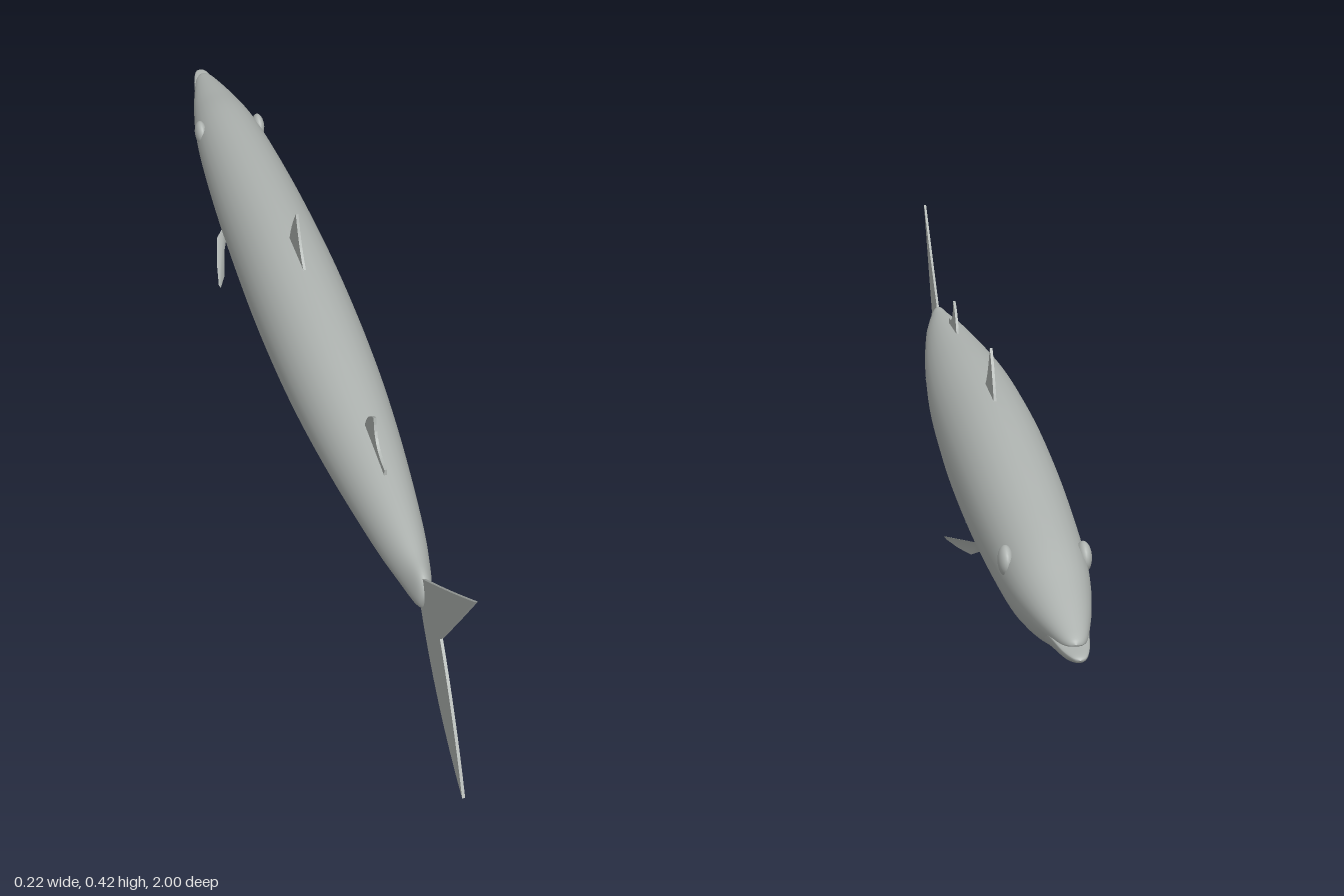
import * as THREE from 'three';

const skin = new THREE.MeshStandardMaterial({ color: 0xb0b5b2 });
skin.name = 'silver grey';
const finSkin = skin.clone();
finSkin.name = 'silver grey fin';
finSkin.side = THREE.DoubleSide;

// Smooth skin through oval rings, each [z, halfWidth, top, middle, bottom], from nose to tail
function loft(rings, steps, sides = 28) {
  const a = new THREE.CatmullRomCurve3(rings.map(r => new THREE.Vector3(r[0], r[2], r[4])), false, 'catmullrom');
  const b = new THREE.CatmullRomCurve3(rings.map(r => new THREE.Vector3(r[0], r[1], r[3])), false, 'catmullrom');
  const pos = [], index = [];
  for (let i = 0; i <= steps; i++) {
    const p = a.getPoint(i / steps), q = b.getPoint(i / steps);
    for (let j = 0; j < sides; j++) {
      const t = (j / sides) * Math.PI * 2, s = Math.sin(t);
      pos.push(Math.max(q.y, 0) * Math.cos(t), q.z + s * (s > 0 ? p.y - q.z : q.z - p.z), p.x);
      if (i === steps) continue;
      const k = i * sides + j, n = i * sides + (j + 1) % sides;
      index.push(k, n, k + sides, n, n + sides, k + sides);
    }
  }
  const g = new THREE.BufferGeometry();
  g.setAttribute('position', new THREE.Float32BufferAttribute(pos, 3));
  g.setIndex(index);
  g.computeVertexNormals();
  return g;
}

function add(group, name, geometry, material = skin) {
  const m = new THREE.Mesh(geometry, material);
  m.name = name;
  group.add(m);
  return m;
}

// Upright fin on the centre line; the outline is drawn as (z, y)
function uprightFin(draw, depth = 0.005) {
  const s = new THREE.Shape();
  draw(s);
  const g = new THREE.ExtrudeGeometry(s, { depth, bevelEnabled: false, curveSegments: 8 });
  g.translate(0, 0, -depth / 2);
  g.rotateY(-Math.PI / 2);
  return g;
}

// Thin side fin as a fan of corners
function sideFin(points) {
  const g = new THREE.BufferGeometry();
  g.setAttribute('position', new THREE.Float32BufferAttribute(points.flat(), 3));
  const index = [];
  for (let i = 1; i < points.length - 1; i++) index.push(0, i, i + 1);
  g.setIndex(index);
  g.computeVertexNormals();
  return g;
}

export function createModel() {
  const fish = new THREE.Group();
  fish.name = 'fish';

  // Long tapered body with the upper jaw
  add(fish, 'body', loft([
    [-0.965, 0, 0.216, 0.216, 0.216],
    [-0.955, 0.014, 0.225, 0.214, 0.208],
    [-0.92, 0.027, 0.234, 0.212, 0.186],
    [-0.82, 0.050, 0.256, 0.210, 0.152],
    [-0.69, 0.069, 0.281, 0.210, 0.126],
    [-0.45, 0.083, 0.303, 0.212, 0.104],
    [-0.2, 0.089, 0.316, 0.214, 0.092],
    [0, 0.089, 0.315, 0.214, 0.096],
    [0.2, 0.083, 0.305, 0.214, 0.112],
    [0.4, 0.068, 0.287, 0.213, 0.136],
    [0.6, 0.045, 0.266, 0.212, 0.162],
    [0.7, 0.028, 0.253, 0.212, 0.175],
    [0.755, 0.014, 0.246, 0.212, 0.181],
    [0.775, 0, 0.212, 0.212, 0.212],
  ], 78));

  // Protruding lower jaw
  add(fish, 'lowerJaw', loft([
    [-1, 0, 0.208, 0.208, 0.208],
    [-0.992, 0.011, 0.213, 0.209, 0.201],
    [-0.96, 0.021, 0.213, 0.207, 0.189],
    [-0.91, 0.030, 0.212, 0.206, 0.177],
    [-0.82, 0.045, 0.205, 0.200, 0.155],
  ], 20, 20));

  // Tail fin, forked
  add(fish, 'tailFin', uprightFin(s => {
    s.moveTo(0.75, 0.24);
    s.quadraticCurveTo(0.88, 0.33, 1, 0.42);
    s.quadraticCurveTo(0.92, 0.30, 0.855, 0.207);
    s.quadraticCurveTo(0.94, 0.11, 1, 0);
    s.quadraticCurveTo(0.85, 0.06, 0.75, 0.185);
  }), finSkin);

  // Dorsal fins and anal fin
  add(fish, 'frontDorsalFin', uprightFin(s => {
    s.moveTo(-0.14, 0.30);
    s.quadraticCurveTo(-0.122, 0.355, -0.083, 0.402);
    s.quadraticCurveTo(-0.055, 0.335, -0.02, 0.312);
    s.lineTo(-0.02, 0.30);
  }), finSkin);
  add(fish, 'rearDorsalFin', uprightFin(s => {
    s.moveTo(0.405, 0.275);
    s.quadraticCurveTo(0.415, 0.32, 0.46, 0.341);
    s.quadraticCurveTo(0.465, 0.285, 0.53, 0.285);
    s.lineTo(0.53, 0.265);
  }), finSkin);
  add(fish, 'analFin', uprightFin(s => {
    s.moveTo(0.425, 0.15);
    s.quadraticCurveTo(0.44, 0.11, 0.487, 0.089);
    s.quadraticCurveTo(0.49, 0.145, 0.553, 0.143);
    s.lineTo(0.553, 0.165);
  }), finSkin);

  // Paired parts
  for (const side of [1, -1]) {
    const word = side > 0 ? 'left' : 'right';
    add(fish, word + 'PectoralFin', sideFin([
      [0.070, 0.165, -0.43], [0.090, 0.159, -0.40], [0.104, 0.140, -0.34],
      [0.112, 0.122, -0.285], [0.108, 0.116, -0.285], [0.092, 0.115, -0.325],
      [0.078, 0.128, -0.39], [0.066, 0.145, -0.42],
    ].map(([x, y, z]) => [x * side, y, z])), finSkin);
    add(fish, word + 'PelvicFin', sideFin([
      [0.020, 0.104, -0.15], [0.033, 0.078, -0.105], [0.045, 0.055, -0.06],
      [0.036, 0.074, -0.06], [0.022, 0.102, -0.08],
    ].map(([x, y, z]) => [x * side, y, z])), finSkin);
    const eye = add(fish, word + 'Eye', new THREE.SphereGeometry(0.025, 20, 14));
    eye.scale.x = 0.5;
    eye.position.set(0.062 * side, 0.237, -0.685);
  }

  return fish;
}
